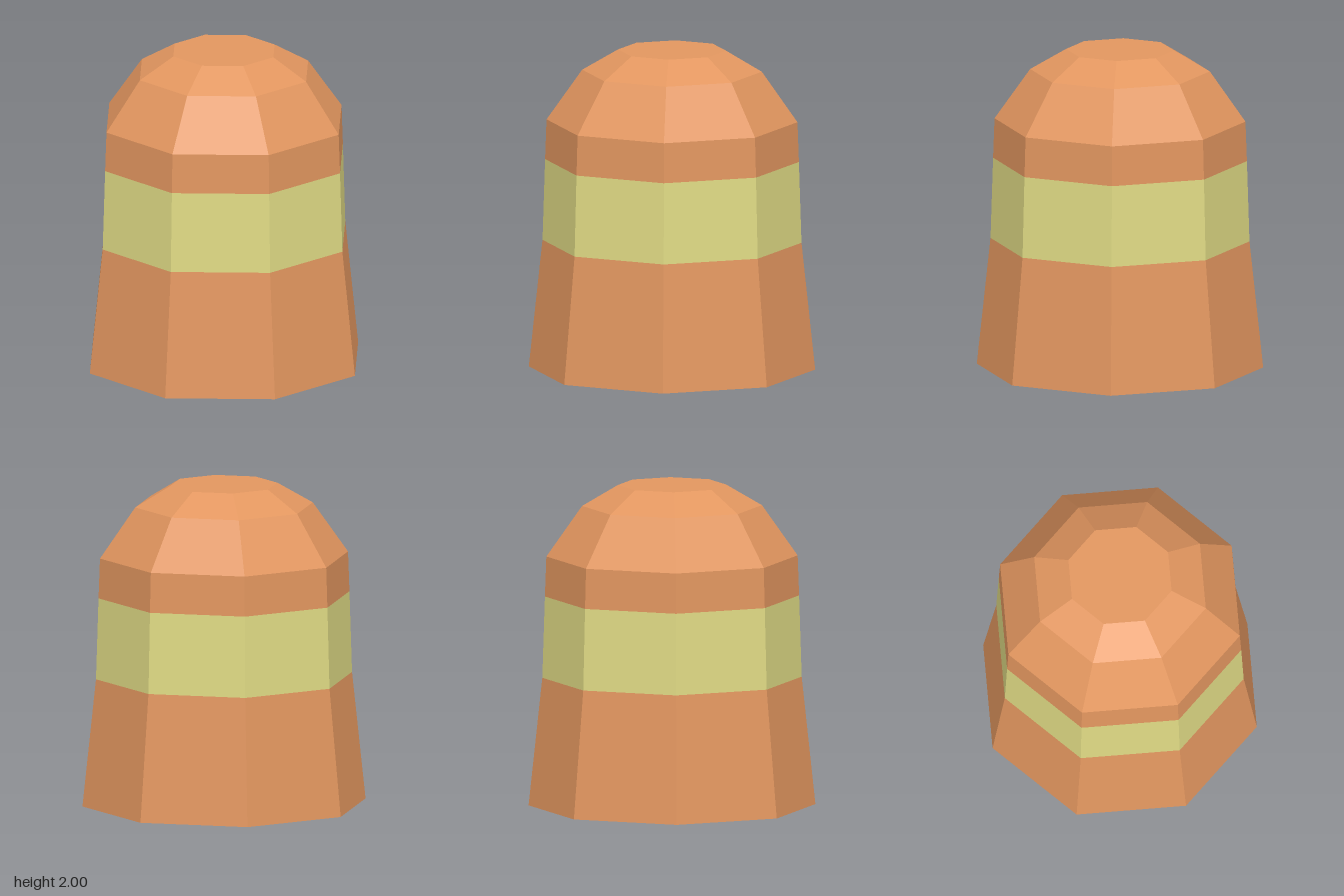
import * as THREE from 'three';
import { mergeGeometries } from 'three/addons/utils/BufferGeometryUtils.js';

const SIDES = 8;

// Faceted shell through [radius, height] rings; a radius of 0 closes an end
function facetedShell(name, rings, material) {
  const sections = [];
  for (let i = 0; i < rings.length - 1; i++) {
    const [r0, y0] = rings[i];
    const [r1, y1] = rings[i + 1];
    if (y0 === y1) {
      // flat end: a disc facing up when the rings close at the top, down otherwise
      const up = r1 === 0;
      const disc = new THREE.CircleGeometry(Math.max(r0, r1), SIDES);
      disc.rotateX(up ? -Math.PI / 2 : Math.PI / 2);
      sections.push(disc.translate(0, y0, 0));
    } else {
      const wall = new THREE.CylinderGeometry(r1, r0, y1 - y0, SIDES, 1, true);
      sections.push(wall.translate(0, (y0 + y1) / 2, 0));
    }
  }
  const geometry = mergeGeometries(sections.map((s) => s.toNonIndexed()));
  geometry.computeVertexNormals();
  const mesh = new THREE.Mesh(geometry, material);
  mesh.name = name;
  return mesh;
}

export function createModel() {
  const orange = new THREE.MeshStandardMaterial({ color: 0xe2965f, flatShading: true });
  orange.name = 'terracotta orange';
  const yellow = new THREE.MeshStandardMaterial({ color: 0xdfda84, flatShading: true });
  yellow.name = 'pale yellow';

  const model = new THREE.Group();
  model.name = 'bandedPost';
  model.add(
    // flared foot with closed underside
    facetedShell('base', [[0, 0], [0.888, 0], [0.803, 0.797]], orange),
    // painted ring around the middle
    facetedShell('band', [[0.803, 0.797], [0.787, 1.305]], yellow),
    // short collar, then the domed top with a flat crown
    facetedShell('dome', [[0.787, 1.305], [0.778, 1.555], [0.557, 1.87], [0.335, 2], [0, 2]], orange),
  );
  return model;
}
